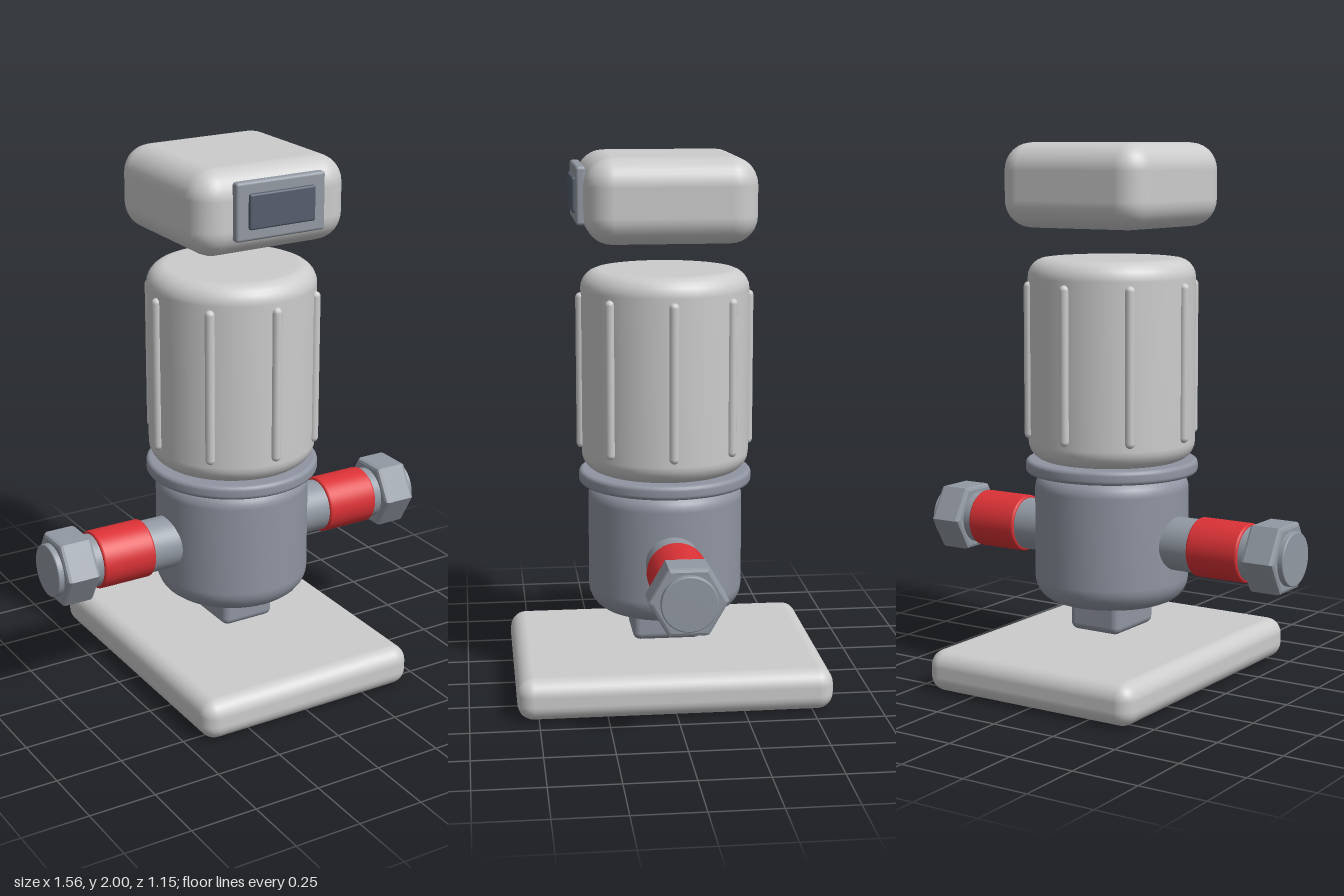
import * as THREE from 'three';
import { RoundedBoxGeometry } from 'three/addons/geometries/RoundedBoxGeometry.js';

const material = (name, color) => {
  const m = new THREE.MeshStandardMaterial({ color });
  m.name = name;
  return m;
};

// Solid of revolution around y with rounded top and bottom rims
function roundedCylinder(radius, y0, y1, bottomR, topR, steps = 6) {
  const points = [new THREE.Vector2(0, y0)];
  const arc = (cy, r, from) => {
    for (let i = 0; i <= steps; i++) {
      const a = from + (i / steps) * Math.PI / 2;
      points.push(new THREE.Vector2(radius - r + r * Math.cos(a), cy + r * Math.sin(a)));
    }
  };
  arc(y0 + bottomR, bottomR, -Math.PI / 2);
  arc(y1 - topR, topR, 0);
  points.push(new THREE.Vector2(0, y1));
  return new THREE.LatheGeometry(points, 48);
}

// Bevelled hexagonal nut along +x, corners pointing to +z and -z
function hexNut(radius, x0, x1, bevel) {
  const corners = [];
  for (let i = 0; i < 6; i++) {
    const a = i * Math.PI / 3;
    corners.push(new THREE.Vector2(radius * Math.cos(a), radius * Math.sin(a)));
  }
  const geo = new THREE.ExtrudeGeometry(new THREE.Shape(corners), {
    depth: x1 - x0 - 2 * bevel, bevelEnabled: true, bevelThickness: bevel,
    bevelSize: bevel, bevelOffset: -bevel, bevelSegments: 2,
  });
  return geo.translate(0, 0, x0 + bevel).rotateY(Math.PI / 2);
}

export function createModel() {
  const casing = material('light grey casing', 0xcbcccb);
  const cast = material('cast metal', 0x9095a2);
  const steel = material('steel', 0x9299a3);
  const red = material('red sleeve', 0xdb3236);
  const glass = material('dark screen', 0x555d6c);

  const model = new THREE.Group();
  model.name = 'pump';
  const add = (name, geometry, mat, parent = model) => {
    const mesh = new THREE.Mesh(geometry, mat);
    mesh.name = name;
    parent.add(mesh);
    return mesh;
  };
  const box = (name, size, pos, radius, mat) =>
    add(name, new RoundedBoxGeometry(...size, 4, radius), mat).position.set(...pos);

  // Base plate and foot
  box('basePlate', [0.885, 0.155, 1.155], [0, 0.0775, 0], 0.06, casing);
  box('foot', [0.216, 0.16, 0.26], [0, 0.265, 0], 0.028, cast);

  // Pump body, flange and motor housing
  add('pumpBody', roundedCylinder(0.288, 0.295, 0.785, 0.09, 0.06), cast);
  add('flange', roundedCylinder(0.322, 0.78, 0.832, 0.016, 0.016, 4), cast);
  add('motorHousing', roundedCylinder(0.311, 0.83, 1.58, 0.07, 0.07), casing);

  // Cooling ribs around the motor
  const ribs = new THREE.Group();
  ribs.name = 'coolingRibs';
  model.add(ribs);
  for (let i = 0; i < 8; i++) {
    const a = i * Math.PI / 4;
    const rib = add('rib', new THREE.CapsuleGeometry(0.018, 0.546, 4, 12), casing, ribs);
    rib.position.set(0.312 * Math.sin(a), 1.205, 0.312 * Math.cos(a));
  }

  // Control head with its display
  box('controlHead', [0.618, 0.308, 0.618], [0, 1.846, 0], 0.1, casing);
  box('displayFrame', [0.358, 0.208, 0.036], [0, 1.862, 0.317], 0.011, steel);
  box('displayScreen', [0.265, 0.126, 0.022], [0, 1.862, 0.336], 0.008, glass);

  // Pipe, sleeve and nut on each side
  for (const side of [1, -1]) {
    const port = new THREE.Group();
    port.name = side > 0 ? 'leftPort' : 'rightPort';
    port.position.y = 0.537;
    port.rotation.y = side > 0 ? 0 : Math.PI;
    model.add(port);
    const along = (radius, x0, x1, r) => roundedCylinder(radius, x0, x1, r, r, 3).rotateZ(-Math.PI / 2);
    add('pipe', along(0.099, 0.2, 0.778, 0.005), steel, port);
    add('sleeve', along(0.109, 0.385, 0.596, 0.009), red, port);
    add('nut', hexNut(0.139, 0.628, 0.756, 0.013), steel, port);
  }
  return model;
}
